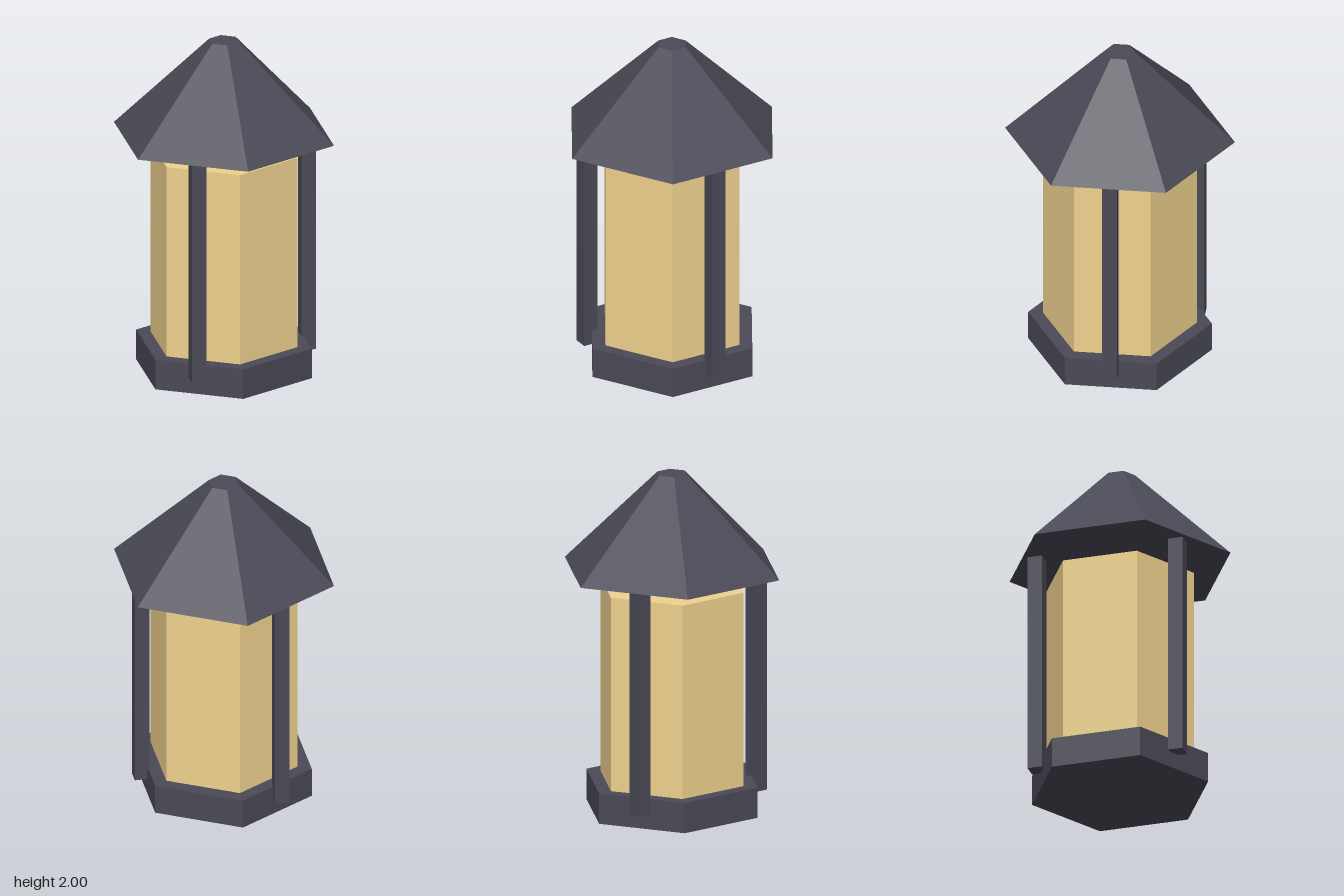
import * as THREE from 'three';

export function createModel() {
  const model = new THREE.Group();
  model.name = 'lantern';
  const metal = new THREE.MeshStandardMaterial({ color: 0x4a4956, flatShading: true });
  const glass = new THREE.MeshStandardMaterial({ color: 0xf0d28e, flatShading: true });

  // Hexagonal prism or frustum with corners on the z axis
  function addHex(name, topRadius, bottomRadius, y0, y1, material) {
    const mesh = new THREE.Mesh(
      new THREE.CylinderGeometry(topRadius, bottomRadius, y1 - y0, 6), material);
    mesh.position.y = (y0 + y1) / 2;
    mesh.name = name;
    model.add(mesh);
  }

  addHex('base', 0.53, 0.53, 0, 0.18, metal);
  addHex('glassBody', 0.444, 0.444, 0.18, 1.333, glass);
  addHex('roof', 0.09, 0.664, 1.43, 2, metal);

  // Three square posts, evenly spaced but all aligned to the axes
  const postBottom = 0.095, postTop = 1.465, postWidth = 0.087, ring = 0.488;
  for (let i = 0; i < 3; i++) {
    const angle = (i * Math.PI * 2) / 3;
    const post = new THREE.Mesh(
      new THREE.BoxGeometry(postWidth, postTop - postBottom, postWidth), metal);
    post.position.set(ring * Math.cos(angle), (postBottom + postTop) / 2, ring * Math.sin(angle));
    post.name = 'post' + (i + 1);
    model.add(post);
  }
  return model;
}
